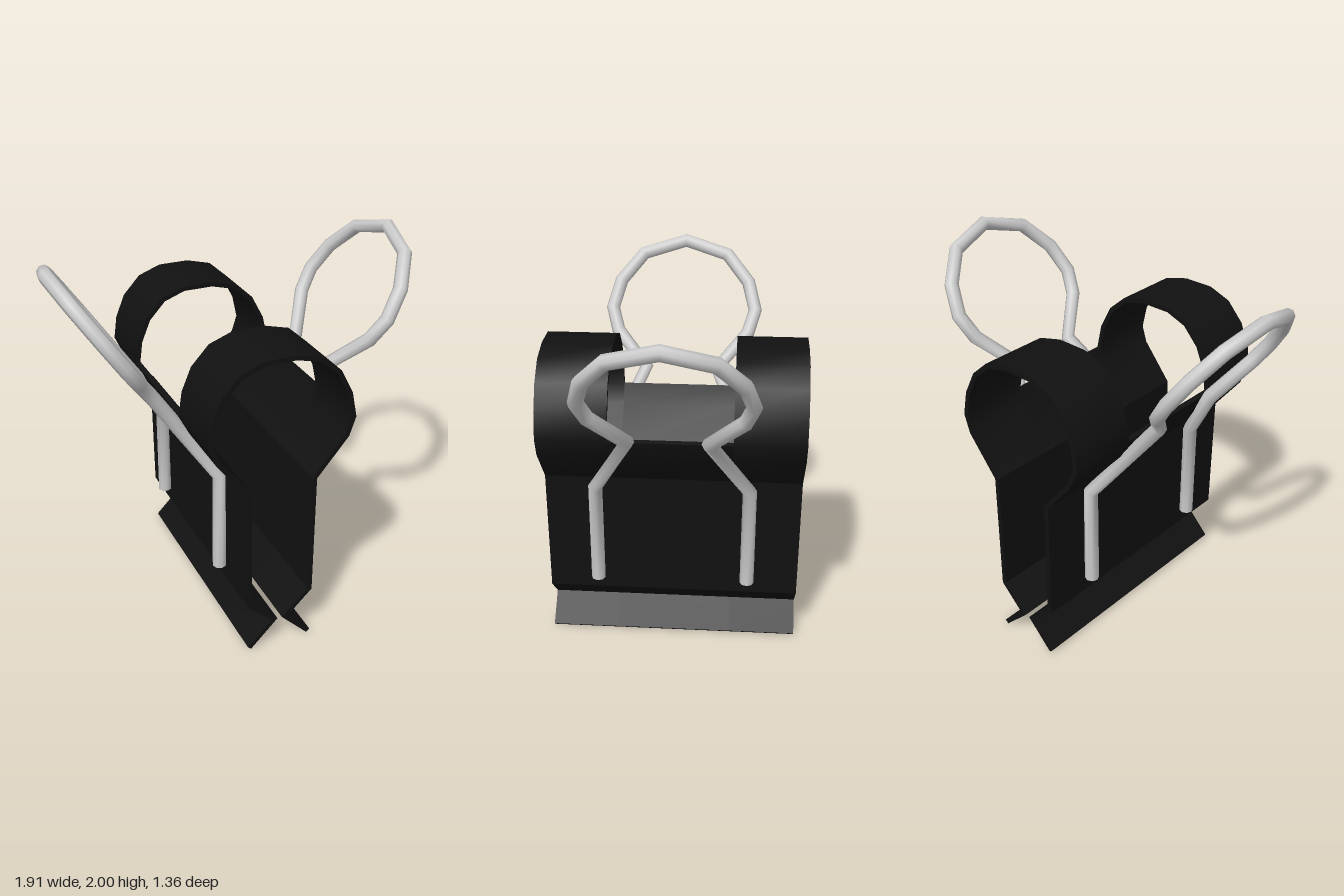
import * as THREE from 'three';
import { toCreasedNormals } from 'three/addons/utils/BufferGeometryUtils.js';

const THICK = 0.025, DEPTH = 0.68, NOTCH = 0.315, WIRE = 0.038;

// Sheet centreline, from the left foot over the loop to the right foot
const PROFILE = [
  [-0.18, 0.012], [-0.037, 0.159], [-0.182, 0.298], [-0.188, 0.98], [-0.345, 1.18], [-0.392, 1.286],
  [-0.375, 1.405], [-0.325, 1.525], [-0.235, 1.622], [-0.118, 1.665], [0.045, 1.665], [0.177, 1.63],
  [0.272, 1.545], [0.338, 1.418], [0.366, 1.286],
  [0.335, 1.19], [0.165, 0.984], [0.165, 0.298], [0.024, 0.159], [0.167, 0.012],
].map(([x, y]) => new THREE.Vector2(x, y));

// Closed outline of a bent strip with mitred corners
function stripShape(points) {
  const near = [], far = [];
  points.forEach((p, i) => {
    const a = p.clone().sub(points[Math.max(i - 1, 0)]).normalize();
    const b = points[Math.min(i + 1, points.length - 1)].clone().sub(p).normalize();
    const t = a.clone().add(b).normalize();
    const n = new THREE.Vector2(-t.y, t.x);
    const d = THICK / 2 / t.dot(b.lengthSq() ? b : a);
    near.push(p.clone().addScaledVector(n, d));
    far.unshift(p.clone().addScaledVector(n, -d));
  });
  return new THREE.Shape([...near, ...far]);
}

function strip(name, points, z0, z1, material) {
  const geo = new THREE.ExtrudeGeometry(stripShape(points), { depth: z1 - z0, bevelEnabled: false });
  geo.translate(0, 0, z0);
  const mesh = new THREE.Mesh(toCreasedNormals(geo, 0.6), material);
  mesh.name = name;
  return mesh;
}

// Curve whose samples fall exactly on the bends of a polyline
class BentPath extends THREE.Curve {
  constructor(points) {
    super();
    this.points = points;
  }
  index(u) {
    return Math.round(u * (this.points.length - 1));
  }
  getPointAt(u, target = new THREE.Vector3()) {
    return target.copy(this.points[this.index(u)]);
  }
  getTangentAt(u, target = new THREE.Vector3()) {
    const i = this.index(u), p = this.points;
    const a = p[i].clone().sub(p[Math.max(i - 1, 0)]).normalize();
    const b = p[Math.min(i + 1, p.length - 1)].clone().sub(p[i]).normalize();
    return target.copy(a.add(b).normalize());
  }
}

// Wire handle: two upright legs, a leaning neck and a round loop
function handle(name, side, material) {
  const group = new THREE.Group();
  group.name = name;
  const half = [
    [0.39, 0.405], [0.95, 0.405], [1.345, 0.2], [1.52, 0.37], [1.63, 0.407],
    [1.765, 0.365], [1.9, 0.24], [1.966, 0],
  ];
  const at = ([y, z], s) =>
    new THREE.Vector3(side * (0.232 + Math.max(0, y - 0.95) * 0.676), y, z * s);
  const points = [...half.map(p => at(p, 1)), ...half.slice(0, -1).reverse().map(p => at(p, -1))];
  const tube = new THREE.TubeGeometry(new BentPath(points), points.length - 1, WIRE, 8, false);
  const wire = new THREE.Mesh(tube, material);
  wire.name = 'wire';
  group.add(wire);
  for (const p of [points[0], points[points.length - 1]]) {
    const cap = new THREE.Mesh(new THREE.CircleGeometry(WIRE, 8), material);
    cap.name = 'wireEnd';
    cap.rotation.x = Math.PI / 2;
    cap.position.copy(p);
    group.add(cap);
  }
  return group;
}

export function createModel() {
  const black = new THREE.MeshStandardMaterial({ color: 0x111111 });
  const grey = new THREE.MeshStandardMaterial({ color: 0xcccccc });
  const model = new THREE.Group();
  model.name = 'clip';

  // Spring body: full loops at both ends, only the jaws between them
  const body = new THREE.Group();
  body.name = 'springBody';
  body.add(
    strip('frontLoop', PROFILE, NOTCH, DEPTH, black),
    strip('backLoop', PROFILE, -DEPTH, -NOTCH, black),
    strip('rightJaw', PROFILE.slice(0, 6), -NOTCH, NOTCH, black),
    strip('leftJaw', PROFILE.slice(-6), -NOTCH, NOTCH, black),
  );
  model.add(body, handle('leftHandle', 1, grey), handle('rightHandle', -1, grey));
  return model;
}
